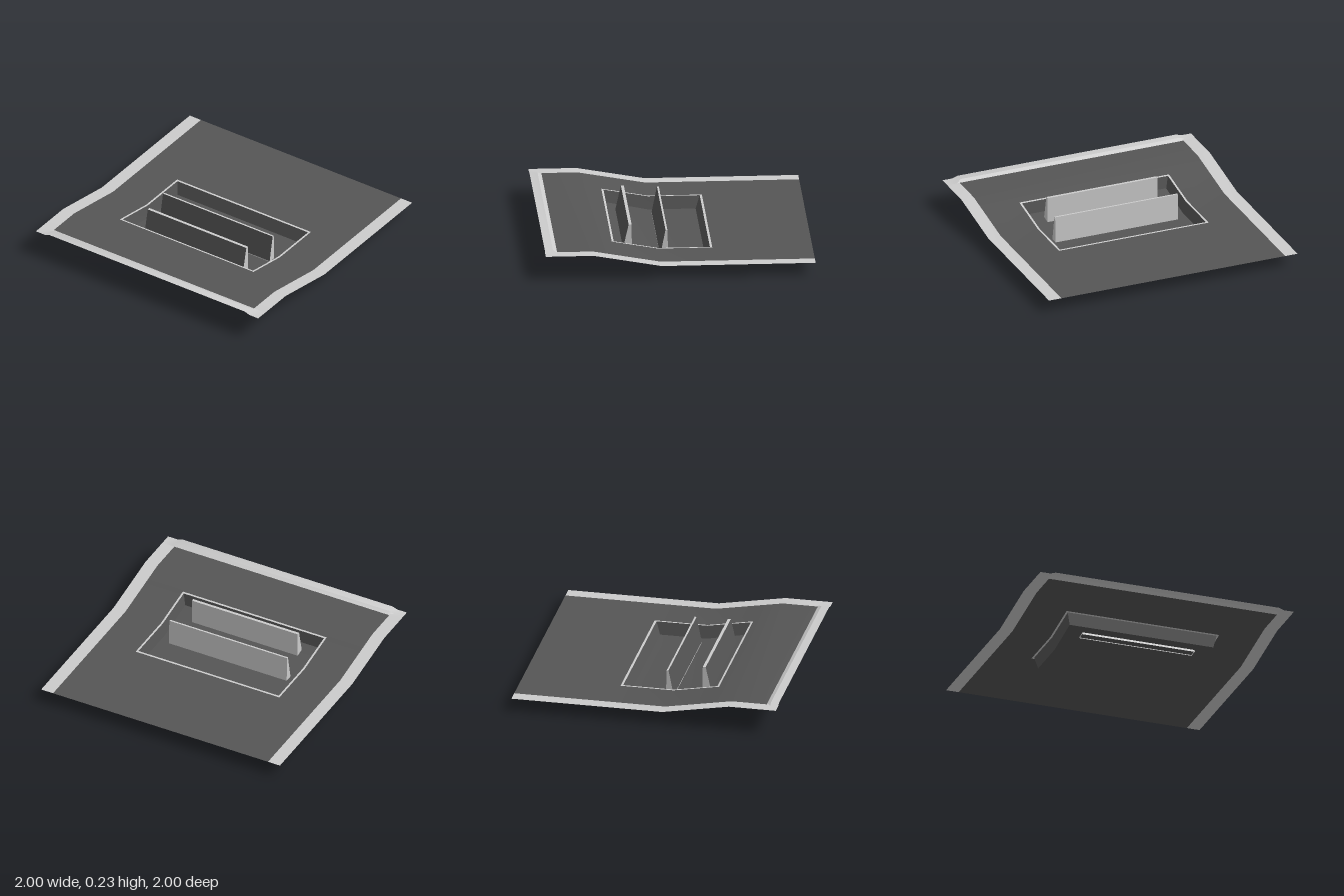
import * as THREE from 'three';
import { toCreasedNormals } from 'three/addons/utils/BufferGeometryUtils.js';

const light = new THREE.MeshStandardMaterial({ color: 0xcccccc, side: THREE.DoubleSide });
const dark = new THREE.MeshStandardMaterial({ color: 0x555555, side: THREE.DoubleSide });

// Height of the bent sheet along z: flat, ramp, flat
const BEND = 0.14, RAMP_END = 0.645, LOW = 0.096, HIGH = 0.187;
const height = (z) => LOW + (HIGH - LOW) * THREE.MathUtils.clamp((z - BEND) / (RAMP_END - BEND), 0, 1);

// Surface through rows of points; rows run toward +z, points toward +x
function surface(name, rows, material) {
  const n = rows[0].length, index = [];
  for (let i = 0; i < rows.length - 1; i++) {
    for (let j = 0; j < n - 1; j++) {
      const a = i * n + j, c = a + n;
      index.push(a, c, a + 1, a + 1, c, c + 1);
    }
  }
  let g = new THREE.BufferGeometry();
  g.setAttribute('position', new THREE.Float32BufferAttribute(rows.flat(2), 3));
  g.setIndex(index);
  g.computeVertexNormals();
  g = toCreasedNormals(g, 0.4);
  const mesh = new THREE.Mesh(g, material);
  mesh.name = name;
  return mesh;
}

// Rectangle of the bent sheet
function strip(name, x0, x1, z0, z1, material) {
  const zs = [z0, ...[BEND, RAMP_END].filter((z) => z > z0 && z < z1), z1];
  return surface(name, zs.map((z) => [[x0, height(z), z], [x1, height(z), z]]), material);
}

// Rectangular ring of the sheet, boxes given as [half width, back z, front z]
function ring(name, outer, inner, material) {
  const g = new THREE.Group();
  g.name = name;
  const [ox, ob, of] = outer, [ix, ib, inf] = inner;
  g.add(
    strip(name + 'Back', -ox, ox, ob, ib, material),
    strip(name + 'Front', -ox, ox, inf, of, material),
    strip(name + 'Left', ix, ox, ib, inf, material),
    strip(name + 'Right', -ox, -ix, ib, inf, material));
  return g;
}

// Upright fin with a sloping dark front; corners are [z, y], open underneath
function fin(name, w, back, backTop, frontTop, front, floorY) {
  const g = new THREE.Group();
  g.name = name;
  const line = ([z, y]) => [[-w, y, z], [w, y, z]];
  const t = (frontTop[1] - floorY) / (frontTop[1] - front[1]);
  const split = [frontTop[0] + t * (front[0] - frontTop[0]), floorY];
  g.add(
    surface('finBackAndTop', [back, backTop, frontTop].map(line), light),
    surface('finFront', [frontTop, split].map(line), dark),
    surface('finFoot', [split, front].map(line), light));
  for (const s of [-1, 1]) {
    const p = ([z, y]) => [s * w, y, z];
    g.add(surface('finEnd', [[p(back), p(backTop)], [p(front), p(frontTop)]], light));
  }
  return g;
}

export function createModel() {
  const model = new THREE.Group();

  // Bent panel with an opening, and the pale rim around the opening
  model.add(ring('panel', [0.9, -1, 0.91], [0.602, -0.26, 0.485], dark));
  model.add(ring('openingRim', [0.602, -0.26, 0.485], [0.587, -0.243, 0.47], light));

  // Pale side borders
  model.add(strip('leftBorder', 0.9, 1, -1, 0.91, light));
  model.add(strip('rightBorder', -1, -0.9, -1, 0.91, light));

  // Front border with a raised, bevelled lip
  model.add(surface('frontLip', [0.91, 0.94, 1].map((z) =>
    [-1, -0.92, -0.88, 0.88, 0.92, 1].map((x) =>
      [x, HIGH + (Math.abs(x) < 0.9 && z > 0.92 ? 0.014 : 0), z])), light));

  // Recessed tray with sloped walls; each station holds top z, floor z, floor y
  const tray = new THREE.Group();
  tray.name = 'tray';
  const tx = 0.587, fx = 0.567;
  const stations = [[-0.243, -0.212, 0], [BEND, BEND, 0], [0.47, 0.455, 0.064]];
  const floorRow = ([, z, y]) => [[-fx, y, z], [fx, y, z]];
  const topRow = ([z]) => [[-tx, height(z), z], [tx, height(z), z]];
  tray.add(surface('trayFloor', stations.map(floorRow), dark));
  tray.add(surface('trayBackWall', [topRow(stations[0]), floorRow(stations[0])], dark));
  tray.add(surface('trayFrontWall', [floorRow(stations[2]), topRow(stations[2])], dark));
  for (const k of [0, 1]) {
    tray.add(surface('traySideWall', stations.map((s) =>
      k ? [floorRow(s)[1], topRow(s)[1]] : [topRow(s)[0], floorRow(s)[0]]), dark));
  }
  model.add(tray);

  // Two cross fins; the front one pokes through the tray floor
  model.add(fin('rearFin', 0.493, [0.06, 0], [0.066, 0.204], [0.08, 0.204], [0.12, 0], 0.005));
  model.add(fin('frontFin', 0.443, [0.326, 0.032], [0.328, 0.234], [0.35, 0.234], [0.395, 0.034], 0.051));

  return model;
}
